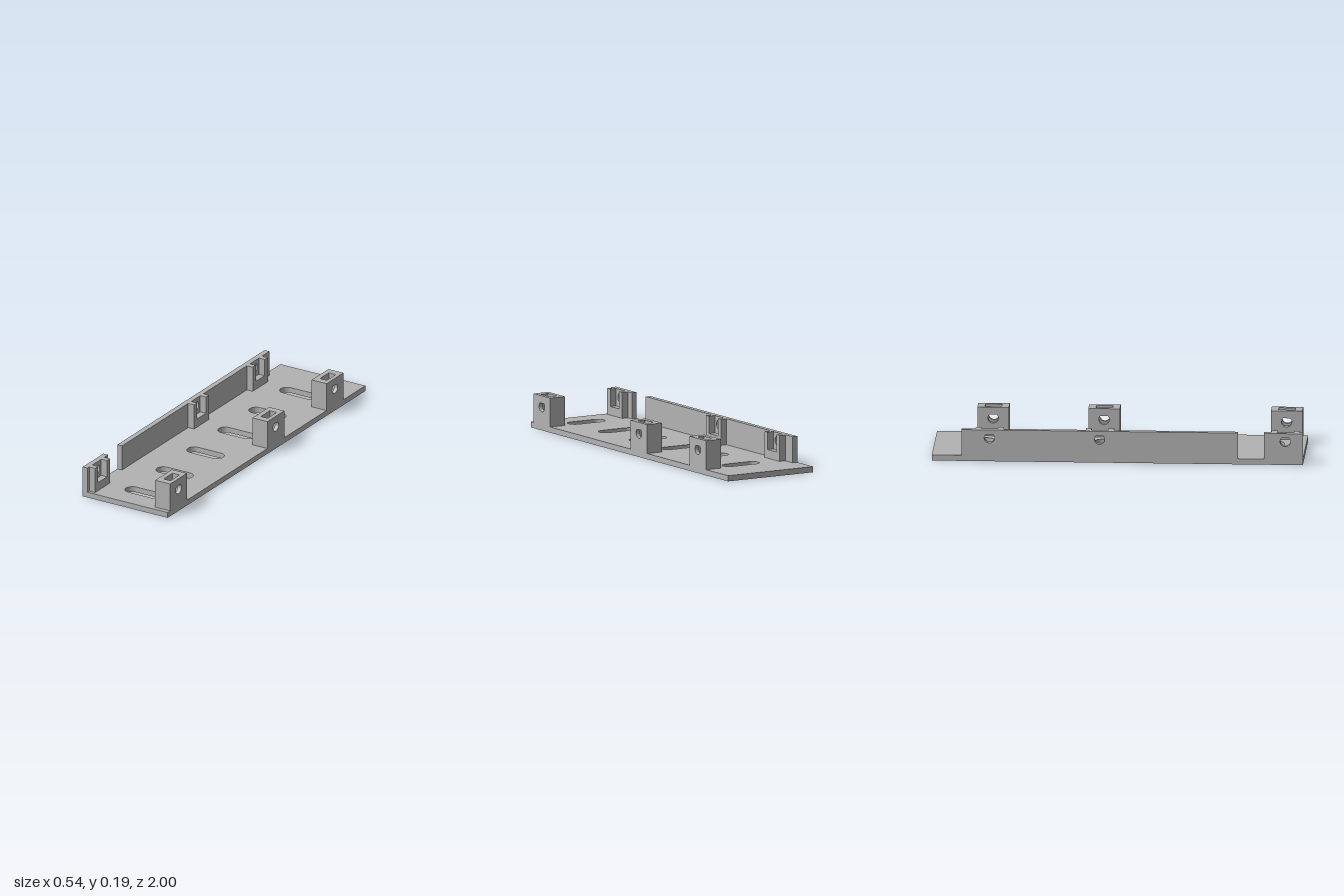
import * as THREE from 'three';
import { toCreasedNormals } from 'three/addons/utils/BufferGeometryUtils.js';

const FLOOR = 0.031, HALF_W = 0.27;
const HOLE_Y = 0.129, HOLE_R = 0.028;

function polygon(points) {
  return new THREE.Shape(points.map(([x, y]) => new THREE.Vector2(x, y)));
}

function rect(x0, y0, x1, y1) {
  return polygon([[x0, y0], [x1, y0], [x1, y1], [x0, y1]]);
}

// Pointed-top round hole centred at u
function teardrop(u) {
  const p = new THREE.Path();
  p.moveTo(u, HOLE_Y + HOLE_R * Math.SQRT2);
  p.absarc(u, HOLE_Y, HOLE_R, Math.PI * 0.75, Math.PI * 2.25, false);
  p.closePath();
  return p;
}

// Rounded slot lying along x
function slot(cx, cy, half, r) {
  const p = new THREE.Path();
  p.absarc(cx + half - r, cy, r, -Math.PI / 2, Math.PI / 2, false);
  p.absarc(cx - half + r, cy, r, Math.PI / 2, Math.PI * 1.5, false);
  p.closePath();
  return p;
}

function extrude(shape, depth) {
  return new THREE.ExtrudeGeometry(shape, { depth, bevelEnabled: false, curveSegments: 12 });
}

export function createModel() {
  const model = new THREE.Group();
  const grey = new THREE.MeshStandardMaterial({ color: 0xb2b2b2 });
  grey.name = 'grey plastic';

  function add(parent, name, geometry) {
    const mesh = new THREE.Mesh(toCreasedNormals(geometry, 0.6), grey);
    mesh.name = name;
    parent.add(mesh);
    return mesh;
  }

  // Side profile (u = -z, y) extruded from x0 to x1
  const slab = (parent, name, shape, x0, x1) =>
    add(parent, name, extrude(shape, x1 - x0).rotateY(Math.PI / 2).translate(x0, 0, 0));

  // Cradle profile, open at the top
  const cradle = (half, inner, top, ledge) => polygon([
    [-half, FLOOR], [half, FLOOR], [half, top], [inner, top],
    [inner, ledge], [-inner, ledge], [-inner, top], [-half, top],
  ]);

  // Base plate with six slots
  const base = rect(-HALF_W, -1, HALF_W, 1);
  for (let i = 0; i < 6; i++) base.holes.push(slot(0.018, 0.724 - i * 0.313, 0.112, 0.04));
  add(model, 'basePlate', extrude(base, FLOOR).rotateX(-Math.PI / 2));

  // Side wall in two lengths, with holes behind the clips
  const clipZ = [-0.69, -0.096, 0.905];
  const walls = [['longSideWall', -0.84, 0.65], ['shortSideWall', 0.79, 1]];
  for (const [name, z0, z1] of walls) {
    const shape = rect(-z1, FLOOR, -z0, 0.173);
    for (const z of clipZ) if (z > z0 && z < z1) shape.holes.push(teardrop(-z));
    slab(model, name, shape, -HALF_W, -0.24);
  }

  // Open clips on the inside of the wall
  for (const z of clipZ) {
    slab(model, 'wallClip', cradle(0.076, 0.045, 0.173, 0.078), -0.24, -0.203).position.z = z;
  }

  // Drilled blocks with a nut pocket, built as three layers
  for (const z of [-0.693, -0.095, 0.889]) {
    const block = new THREE.Group();
    block.name = 'mountingBlock';
    block.position.z = z;
    for (const [name, x0, x1] of [['innerFace', 0.175, 0.203], ['outerFace', 0.247, HALF_W]]) {
      const face = rect(-0.085, FLOOR, 0.085, 0.189);
      face.holes.push(teardrop(0));
      slab(block, name, face, x0, x1);
    }
    slab(block, 'nutPocket', cradle(0.085, 0.045, 0.189, 0.078), 0.203, 0.247);
    model.add(block);
  }

  return model;
}
